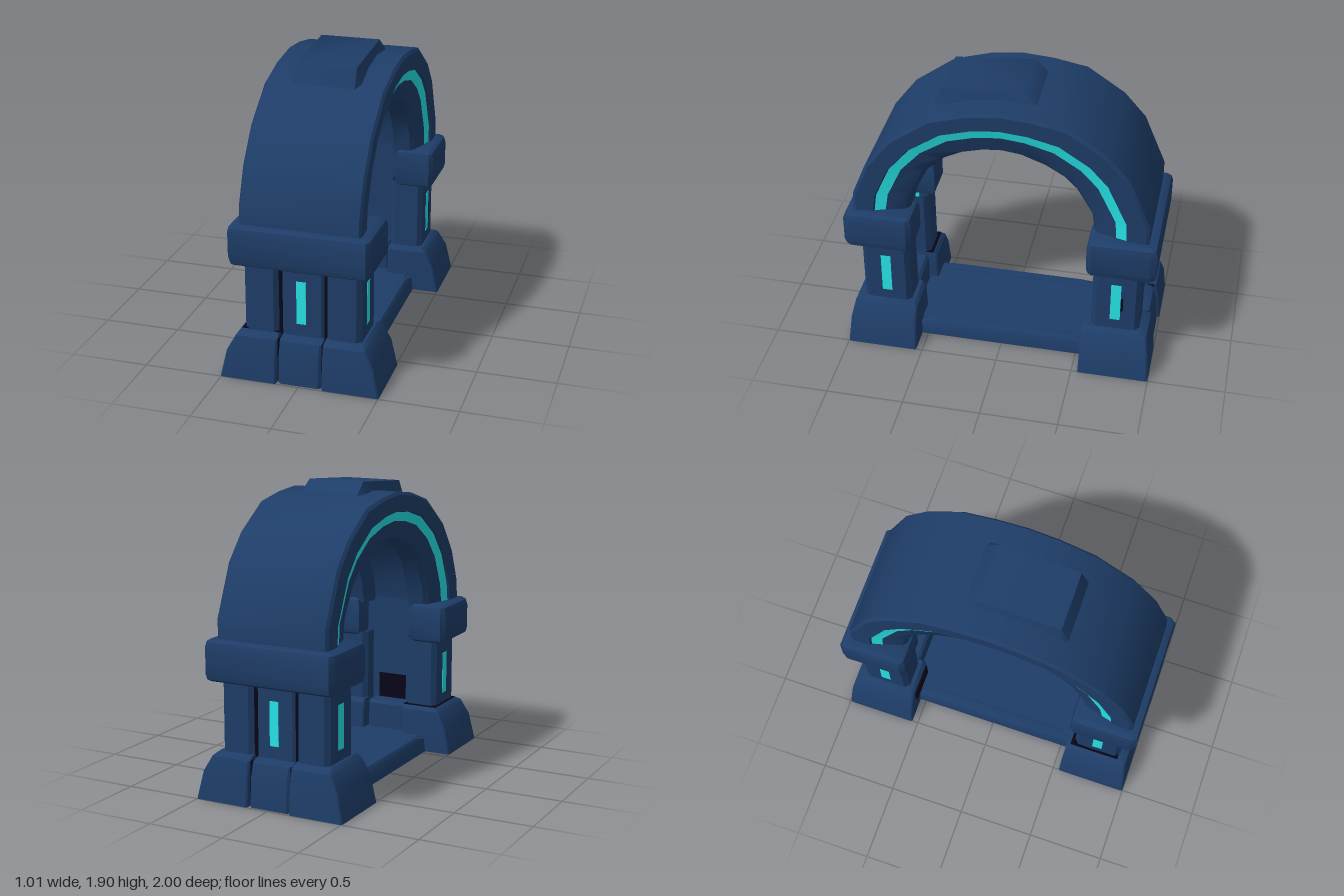
import * as THREE from 'three';
import { toCreasedNormals } from 'three/addons/utils/BufferGeometryUtils.js';

const material = (name, color, side = THREE.FrontSide) => {
  const m = new THREE.MeshStandardMaterial({ color, side });
  m.name = name;
  return m;
};

// Skin equal-length rings of [x, y, z]; keep(j) selects which sides to build.
function loft(rings, { bottom = true, top = true, keep = () => true, crease = 0.6 } = {}) {
  const n = rings[0].length, index = [];
  for (let i = 0; i < rings.length - 1; i++) {
    for (let j = 0; j < n; j++) {
      if (!keep(j)) continue;
      const a = i * n + j, b = i * n + (j + 1) % n;
      index.push(a, b, b + n, a, b + n, a + n);
    }
  }
  const t = (rings.length - 1) * n;
  for (let j = 1; j < n - 1; j++) {
    if (bottom) index.push(0, j + 1, j);
    if (top) index.push(t, t + j, t + j + 1);
  }
  const g = new THREE.BufferGeometry();
  g.setAttribute('position', new THREE.Float32BufferAttribute(rings.flat(2), 3));
  g.setIndex(index);
  return toCreasedNormals(g, crease);
}

// Block stacked from levels [y, x0, x1, z0, z1], with cut vertical corners.
function block(levels, c = 0.015, options) {
  return loft(levels.map(([y, x0, x1, z0, z1]) => [
    [x0 + c, y, z1], [x1 - c, y, z1], [x1, y, z1 - c], [x1, y, z0 + c],
    [x1 - c, y, z0], [x0 + c, y, z0], [x0, y, z0 + c], [x0, y, z1 - c],
  ]), options);
}

const mirrored = levels => levels.map(([y, x0, x1, z0, z1]) => [y, -x1, -x0, z0, z1]);

// Section points [x, f] swept over stations [outerZ, outerY, innerZ, innerY].
const sweep = (stations, section, options) => loft(stations.map(([oz, oy, iz, iy]) =>
  section.map(([x, f]) => [x, iy + (oy - iy) * f, iz + (oz - iz) * f])), options);

export function createModel() {
  const stone = material('blue stone', 0x1e3d68, THREE.DoubleSide);
  const glow = material('cyan light', 0x28f0f2);
  const dark = material('dark gap', 0x080518);
  const model = new THREE.Group();
  model.name = 'archway';

  const add = (parent, name, geometry, mat = stone) => {
    const mesh = new THREE.Mesh(geometry, mat);
    mesh.name = name;
    parent.add(mesh);
    return mesh;
  };
  const box = (parent, name, size, pos, mat) =>
    add(parent, name, new THREE.BoxGeometry(...size), mat).position.set(...pos);

  // Arch vault: two ribs with a recessed soffit and inset glowing side bands
  const stations = [
    [0.95, 0.98, 0.60, 0.98], [0.94, 1.13, 0.565, 1.13], [0.85, 1.35, 0.47, 1.32],
    [0.70, 1.55, 0.36, 1.42], [0.44, 1.74, 0.25, 1.475], [0.20, 1.81, 0.12, 1.51],
    [0, 1.835, 0, 1.52], [-0.20, 1.82, -0.12, 1.505], [-0.42, 1.78, -0.27, 1.45],
    [-0.66, 1.62, -0.39, 1.38], [-0.80, 1.46, -0.47, 1.30], [-0.94, 1.13, -0.57, 1.13],
    [-0.94, 0.98, -0.59, 0.98],
  ];
  const half = [[0.365, 1], [0.38, 0.94], [0.375, 0.62], [0.362, 0.60], [0.345, 0.41],
    [0.31, 0.07], [0.28, 0], [0.17, 0], [0.14, 0.35]];
  const section = [...half, ...half.map(([x, f]) => [-x, f]).reverse()];
  const isBand = j => j === 3 || j === 13;
  const open = { bottom: false, top: false };
  add(model, 'archVault', sweep(stations, section, { ...open, keep: j => !isBand(j) }));
  add(model, 'archLightBands', sweep(stations, section, { ...open, keep: isBand }), glow);

  // Raised keystone plate on the crown
  add(model, 'keystone', sweep([
    [0.44, 1.742, 0.43, 1.70], [0.39, 1.86, 0.38, 1.75],
    [-0.12, 1.90, -0.12, 1.80], [-0.20, 1.825, -0.20, 1.80],
  ], [[-0.19, 1], [0.19, 1], [0.22, 0], [-0.22, 0]], { ...open, crease: 0.9 }));

  // Floor plate with raised rims
  box(model, 'floorPlate', [0.56, 0.03, 1.24], [0, 0.09, 0]);
  const rim = [[0, 0.24, 0.33, -0.56, 0.56], [0.09, 0.24, 0.32, -0.56, 0.56],
    [0.115, 0.25, 0.30, -0.45, 0.45]];
  add(model, 'leftFloorRim', block(rim));
  add(model, 'rightFloorRim', block(mirrored(rim)));

  // Piers at the front and back
  for (const side of ['front', 'back']) {
    const pier = new THREE.Group();
    pier.name = side + 'Pier';
    if (side === 'back') pier.rotation.y = Math.PI;
    model.add(pier);

    // Hollow feet carrying columns
    const hollow = { bottom: false };
    const foot = [[0, 0.145, 0.505, 0.54, 1], [0.18, 0.145, 0.465, 0.545, 0.985],
      [0.28, 0.145, 0.41, 0.55, 0.965], [0.305, 0.15, 0.385, 0.57, 0.915]];
    const column = [[0.30, 0.15, 0.37, 0.595, 0.91], [0.77, 0.15, 0.37, 0.60, 0.91]];
    for (const [label, flip, s] of [['left', l => l, 1], ['right', mirrored, -1]]) {
      add(pier, label + 'Foot', block(flip(foot), 0.01, hollow));
      add(pier, label + 'Column', block(flip(column), 0.03, open));
      box(pier, label + 'ColumnLight', [0.008, 0.28, 0.065], [s * 0.368, 0.515, 0.752], glow);
    }

    // Middle panel with dark joints either side
    add(pier, 'middleFoot', block([[0, -0.135, 0.135, 0.60, 0.985],
      [0.18, -0.135, 0.135, 0.60, 0.975], [0.275, -0.135, 0.135, 0.60, 0.95],
      [0.295, -0.13, 0.13, 0.62, 0.90]], 0.015, hollow));
    add(pier, 'middlePanel', block([[0.29, -0.135, 0.135, 0.78, 0.89],
      [0.77, -0.135, 0.135, 0.78, 0.89]], 0.02, open));
    box(pier, 'innerWall', [0.40, 0.73, 0.10], [0, 0.635, 0.76]);
    for (const s of [-1, 1]) {
      box(pier, 'panelJoint', [0.022, 0.48, 0.06], [s * 0.145, 0.53, 0.853], dark);
      box(pier, 'footJoint', [0.012, 0.28, 0.12], [s * 0.14, 0.14, 0.89], dark);
    }
    box(pier, 'panelLight', [0.06, 0.28, 0.008], [-0.01, 0.515, 0.89], glow);

    // Dark worn patches
    if (side === 'front') {
      box(pier, 'innerWallPatch', [0.20, 0.17, 0.008], [0, 0.385, 0.708], dark);
      box(pier, 'footTopPatch', [0.235, 0.006, 0.33], [-0.268, 0.306, 0.74], dark);
    } else {
      box(pier, 'footInnerPatch', [0.22, 0.14, 0.009], [0.27, 0.18, 0.546], dark);
      box(pier, 'columnPatch', [0.008, 0.10, 0.015], [-0.368, 0.50, 0.793], dark);
    }

    // Capital: U-shaped plan with cut corners, notched on the inside
    const plan = new THREE.Shape([[-0.42, 0.56], [-0.19, 0.56], [-0.19, 0.73], [0.19, 0.73],
      [0.19, 0.56], [0.42, 0.56], [0.445, 0.59], [0.445, 0.96], [0.42, 1], [-0.42, 1],
      [-0.445, 0.96], [-0.445, 0.59]].map(p => new THREE.Vector2(...p)));
    const cap = new THREE.ExtrudeGeometry(plan, { depth: 0.16, bevelEnabled: true,
      bevelThickness: 0.05, bevelSize: 0.035, bevelOffset: -0.035, bevelSegments: 2 });
    cap.rotateX(Math.PI / 2).translate(0, 0.96, 0);
    add(pier, 'capital', toCreasedNormals(cap, 0.6));
  }
  return model;
}
